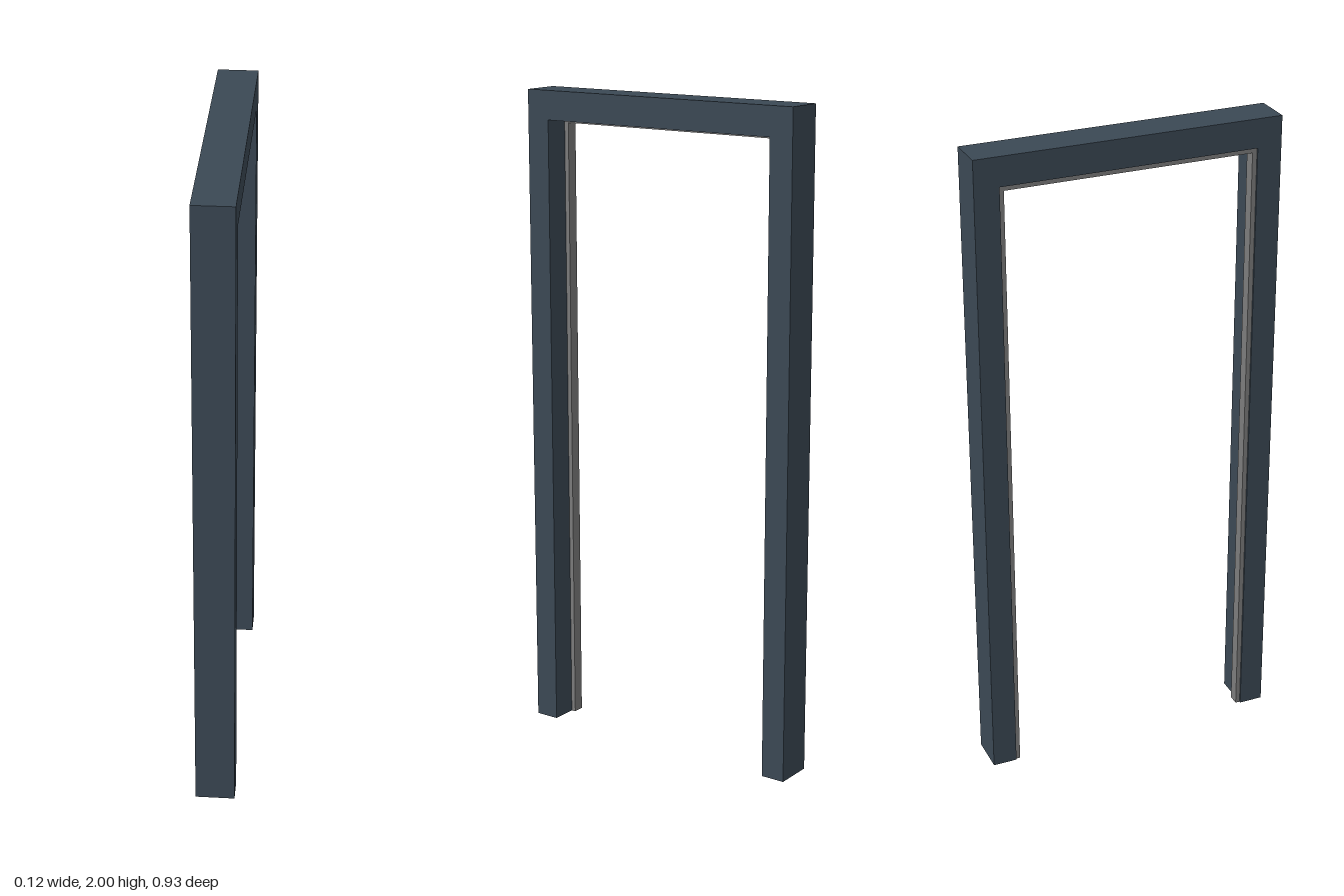
import * as THREE from 'three';

// U-shaped outline in (z, y), open at the floor
function archShape(outer, top, inner, under) {
  const s = new THREE.Shape();
  s.moveTo(-outer, 0);
  s.lineTo(-outer, top);
  s.lineTo(outer, top);
  s.lineTo(outer, 0);
  s.lineTo(inner, 0);
  s.lineTo(inner, under);
  s.lineTo(-inner, under);
  s.lineTo(-inner, 0);
  s.closePath();
  return s;
}

// Extrude the outline across x, from x0 to x1
function arch(name, shape, x0, x1, material) {
  const geometry = new THREE.ExtrudeGeometry(shape, { depth: x1 - x0, bevelEnabled: false });
  geometry.rotateY(Math.PI / 2);
  geometry.translate(x0, 0, 0);
  const mesh = new THREE.Mesh(geometry, material);
  mesh.name = name;
  return mesh;
}

export function createModel() {
  const slate = new THREE.MeshStandardMaterial({ color: 0x3b4854 });
  slate.name = 'slate paint';
  const grey = new THREE.MeshStandardMaterial({ color: 0x7c7c7c });
  grey.name = 'grey seal';

  const group = new THREE.Group();
  group.name = 'doorFrame';

  // Two jambs and the head
  group.add(arch('frame', archShape(0.467, 2, 0.392, 1.912), -0.06, 0.06, slate));
  // Door stop running round the inside of the opening
  group.add(arch('doorStop', archShape(0.392, 1.912, 0.378, 1.898), -0.055, -0.02, grey));
  return group;
}
